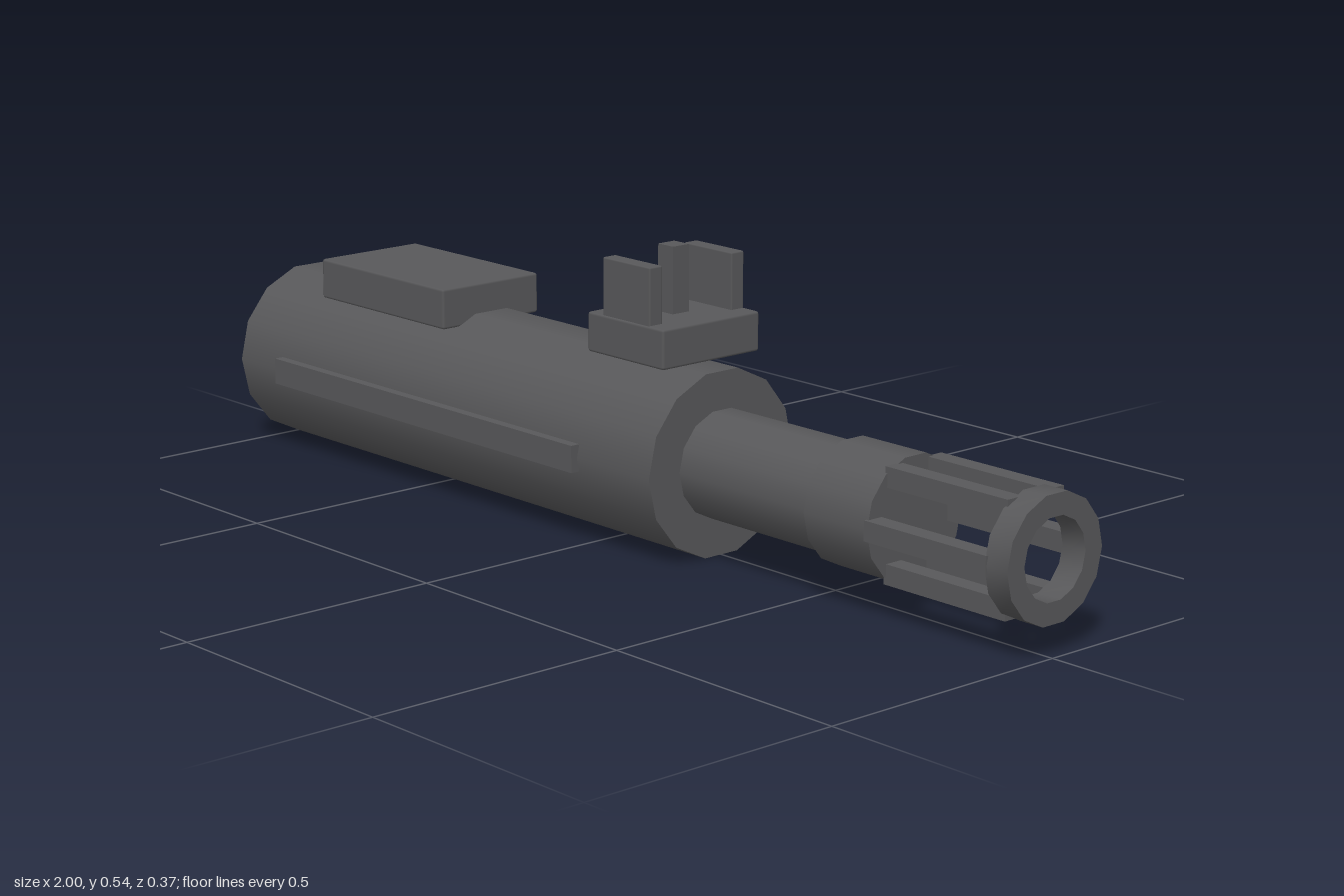
import * as THREE from 'three';
import { RoundedBoxGeometry } from 'three/addons/geometries/RoundedBoxGeometry.js';
import { toCreasedNormals } from 'three/addons/utils/BufferGeometryUtils.js';

const AXIS_Y = 0.169;
const SIDES = 14;

export function createModel() {
  const model = new THREE.Group();
  model.name = 'barrelAssembly';
  const gunmetal = new THREE.MeshStandardMaterial({ color: 0x58585a });
  gunmetal.name = 'gunmetal';

  function add(name, geometry, x, y, z) {
    const mesh = new THREE.Mesh(geometry, gunmetal);
    mesh.name = name;
    mesh.position.set(x, y, z);
    model.add(mesh);
    return mesh;
  }

  // Cylinder lying along x
  function tube(name, x0, x1, radius) {
    const geometry = new THREE.CylinderGeometry(radius, radius, x1 - x0, SIDES);
    geometry.rotateZ(-Math.PI / 2);
    return add(name, geometry, (x0 + x1) / 2, AXIS_Y, 0);
  }

  // Box given by its limits, with optional softened edges
  function block(name, [x0, x1], [y0, y1], [z0, z1], edge = 0) {
    const size = [x1 - x0, y1 - y0, z1 - z0];
    const geometry = edge
      ? new RoundedBoxGeometry(...size, 1, edge)
      : new THREE.BoxGeometry(...size);
    return add(name, geometry, (x0 + x1) / 2, (y0 + y1) / 2, (z0 + z1) / 2);
  }

  // Handguard, barrel and collar
  tube('handguard', -1, 0.21, 0.172);
  tube('barrel', 0.2, 0.55, 0.1);
  tube('muzzleCollar', 0.535, 0.685, 0.113);

  // Six bars of the open muzzle cage
  for (let i = 0; i < 6; i++) {
    const a = (i * Math.PI) / 3;
    const y = AXIS_Y + Math.sin(a) * 0.097;
    const z = Math.cos(a) * 0.097;
    block('cageBar', [0.68, 0.955], [y - 0.018, y + 0.018], [z - 0.018, z + 0.018]);
  }

  // End ring with an open bore
  const ringProfile = [[0.073, -0.025], [0.113, -0.025], [0.113, 0.025], [0.073, 0.025], [0.073, -0.025]]
    .map(([r, h]) => new THREE.Vector2(r, h));
  const ring = new THREE.LatheGeometry(ringProfile, SIDES).rotateZ(-Math.PI / 2);
  add('muzzleRing', toCreasedNormals(ring, Math.PI / 5), 0.975, AXIS_Y, 0);

  // Side rails
  for (const s of [-1, 1]) {
    block('sideRail', [-0.87, 0.018], [0.145, 0.195], [s * 0.175 - 0.01, s * 0.175 + 0.01]);
  }

  // Raised plate on top of the handguard
  block('topPlate', [-0.805, -0.43], [0.317, 0.394], [-0.115, 0.115], 0.005);

  // Front sight: base, two guards and centre post
  block('sightBase', [-0.018, 0.183], [0.35, 0.423], [-0.115, 0.115], 0.005);
  for (const s of [-1, 1]) {
    block('sightGuard', [0.02, 0.145], [0.41, 0.527], [s * 0.097 - 0.015, s * 0.097 + 0.015], 0.003);
  }
  block('sightPost', [0.063, 0.102], [0.41, 0.545], [-0.019, 0.019]);

  return model;
}
